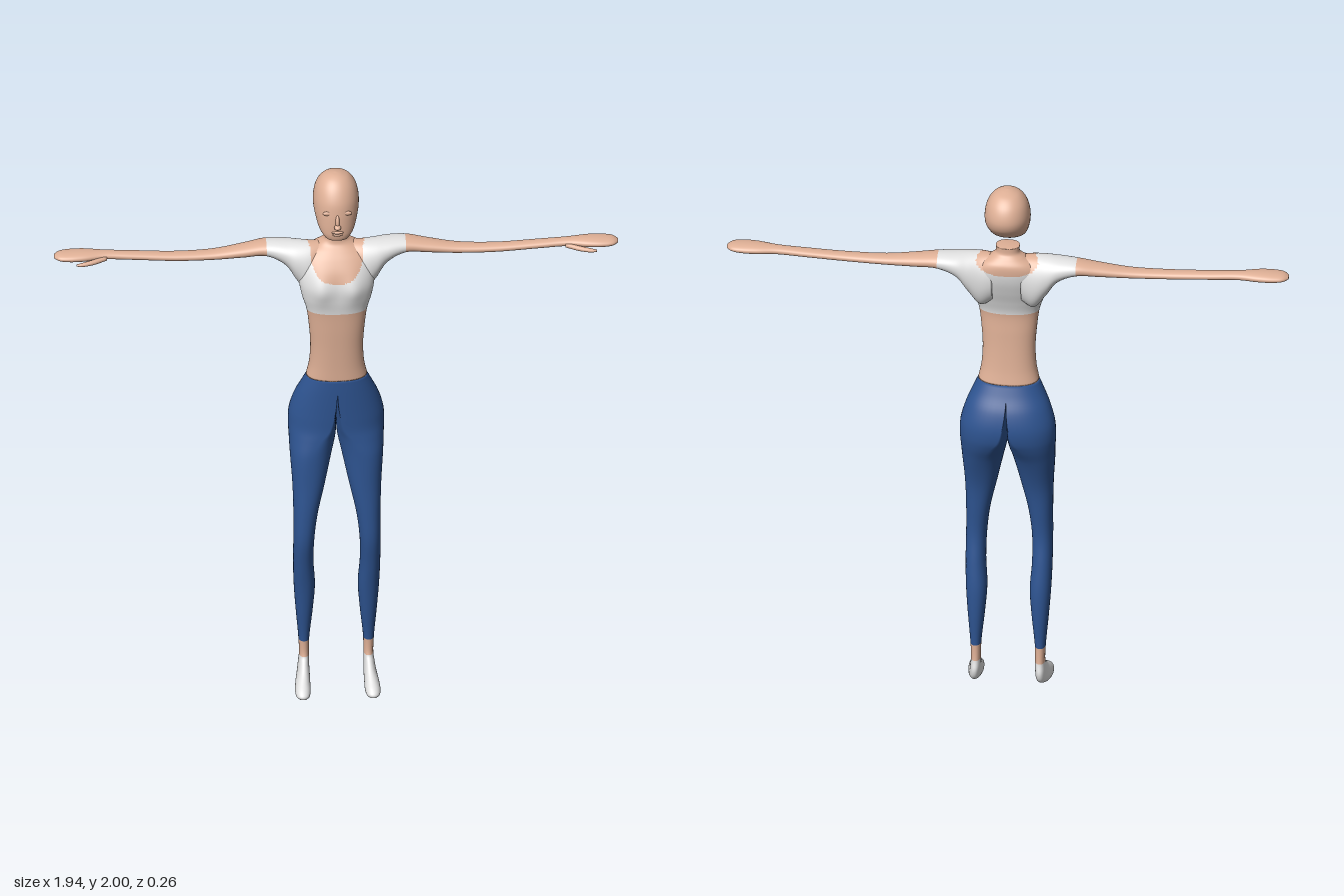
import * as THREE from 'three';

const flat = (name, color) => Object.assign(new THREE.MeshStandardMaterial({ color }), { name });

// Signed power used to square off an ellipse slightly
const pow = (v, p) => Math.sign(v) * Math.abs(v) ** (2 / p);

// Smooth skin through rings; ring(row, cos, sin) gives a point, pick(centroid) a material index
function loft(rows, ring, { seg = 48, sub = 5, p = 2, pick = () => 0, bend, seam = false } = {}) {
  const steps = (rows.length - 1) * sub;
  const pos = [], buckets = [[], [], []];
  const columns = Array.from({ length: seg }, (_, i) => {
    const a = (i / seg) * Math.PI * 2;
    const c = Math.cos(a), s = Math.sin(a);
    return new THREE.CatmullRomCurve3(rows.map(r => ring(r, pow(c, p), pow(s, p))));
  });
  for (let j = 0; j <= steps; j++) {
    for (const column of columns) {
      const v = column.getPoint(j / steps);
      if (bend) bend(v);
      pos.push(v.x, v.y, v.z);
    }
  }
  // Centre points of the two end caps
  for (const j of [0, steps]) {
    const mid = new THREE.Vector3();
    for (let i = 0; i < seg; i++) mid.add(new THREE.Vector3().fromArray(pos, (j * seg + i) * 3));
    mid.divideScalar(seg);
    pos.push(mid.x, mid.y, mid.z);
  }
  const tri = (...t) => {
    const mid = new THREE.Vector3();
    t.forEach(k => mid.add(new THREE.Vector3().fromArray(pos, k * 3)));
    buckets[pick(mid.divideScalar(3))].push(...t);
  };
  const first = (steps + 1) * seg, last = first + 1;
  for (let i = 0; i < seg; i++) {
    const n = (i + 1) % seg;
    for (let j = 0; j < steps; j++) {
      const a = j * seg + i, b = j * seg + n;
      tri(a, b, a + seg);
      tri(b, b + seg, a + seg);
    }
    tri(first, n, i);
    tri(last, steps * seg + i, steps * seg + n);
  }
  const geo = new THREE.BufferGeometry();
  geo.setAttribute('position', new THREE.Float32BufferAttribute(pos, 3));
  geo.setIndex(buckets.flat());
  let start = 0;
  buckets.forEach((b, k) => {
    if (b.length) geo.addGroup(start, b.length, k);
    start += b.length;
  });
  geo.computeVertexNormals();
  // Keep shading continuous across the body's middle line
  if (seam) {
    const nor = geo.attributes.normal, v = new THREE.Vector3();
    for (let i = 0; i < nor.count; i++) {
      if (Math.abs(pos[i * 3]) > 1e-4) continue;
      v.set(0, nor.getY(i), nor.getZ(i)).normalize();
      nor.setXYZ(i, v.x, v.y, v.z);
    }
  }
  return geo;
}

// Ring of an upright part: half width, then front and back points as (y, z)
const upright = ([w, yf, zf, yb, zb], c, s) => new THREE.Vector3(
  w * c, (yf + yb) / 2 + s * (yf - yb) / 2, (zf + zb) / 2 + s * (zf - zb) / 2);

// Ring of a sideways part: x, top, bottom, front, back
const sideways = ([x, yt, yb, zf, zb], c, s) => new THREE.Vector3(
  x, (yt + yb) / 2 + c * (yt - yb) / 2, (zf + zb) / 2 + s * (zf - zb) / 2);

// Ring of a leg: joined half pelvis (m = 0) turning into a separate leg (m = 1)
const legRing = ([xo, xi, yf, zf, yb, zb, m], c, s) => {
  const v = upright([0, yf, zf, yb, zb], c, s);
  v.x = THREE.MathUtils.lerp(Math.max(0, xo * c), (xo + xi) / 2 + c * (xo - xi) / 2, m);
  return v;
};

function mirrored(geo) {
  const g = geo.clone().scale(-1, 1, 1);
  const idx = g.index.array;
  for (let i = 0; i < idx.length; i += 3) [idx[i], idx[i + 1]] = [idx[i + 1], idx[i]];
  const n = g.attributes.normal;
  // Normals follow the reflection of x
  const src = geo.attributes.normal;
  for (let i = 0; i < n.count; i++) n.setXYZ(i, -src.getX(i), src.getY(i), src.getZ(i));
  return g;
}

// Scooped neckline, deeper and narrower in front than behind
function bareNeck({ x, y, z }) {
  const t = THREE.MathUtils.smoothstep(z, -0.07, 0.01);
  const w = THREE.MathUtils.lerp(0.11, 0.092, t), d = THREE.MathUtils.lerp(0.055, 0.115, t);
  return (Math.abs(x) / w) ** 2.5 + (Math.max(0, 1.735 - y) / d) ** 2.5 < 1;
}

export function createModel() {
  const model = new THREE.Group();
  const skin = flat('skin', 0xdfb096), white = flat('white cloth', 0xe2e2e2), blue = flat('blue cloth', 0x2e5491);
  const mats = [skin, white, blue];
  const add = (name, geo, mat = mats) => {
    const mesh = new THREE.Mesh(geo, mat);
    mesh.name = name;
    model.add(mesh);
    return mesh;
  };
  const pair = (name, geo) => {
    add('left' + name, geo);
    add('right' + name, mirrored(geo));
  };

  // Head, from crown to chin
  add('head', loft([
    [0.004, 2, -0.03, 2, -0.036], [0.022, 1.997, -0.008, 1.996, -0.058], [0.046, 1.985, 0.015, 1.985, -0.087],
    [0.067, 1.96, 0.038, 1.955, -0.116], [0.078, 1.92, 0.058, 1.91, -0.13], [0.078, 1.88, 0.066, 1.875, -0.12],
    [0.072, 1.85, 0.069, 1.845, -0.09], [0.063, 1.82, 0.07, 1.815, -0.05], [0.051, 1.8, 0.069, 1.795, -0.01],
    [0.034, 1.783, 0.064, 1.778, 0.02], [0.016, 1.777, 0.055, 1.774, 0.035],
  ], upright, { p: 2.1 }));

  // Face
  const bump = (name, x, y, z, sx, sy, sz) => {
    const mesh = add(name, new THREE.SphereGeometry(1, 20, 14), skin);
    mesh.position.set(x, y, z);
    mesh.scale.set(sx, sy, sz);
    return mesh;
  };
  bump('noseBridge', 0, 1.858, 0.068, 0.007, 0.025, 0.01).rotation.x = -0.25;
  bump('noseTip', 0, 1.84, 0.077, 0.012, 0.009, 0.014);
  bump('upperLip', 0, 1.816, 0.068, 0.021, 0.005, 0.009);
  bump('lowerLip', 0, 1.807, 0.067, 0.018, 0.005, 0.009);
  for (const side of [1, -1]) bump('eyelid', side * 0.033, 1.884, 0.055, 0.018, 0.008, 0.006);

  // Neck, chest and waist
  add('torso', loft([
    [0.041, 1.775, 0.008, -0.058], [0.042, 1.75, 0.008, -0.06], [0.06, 1.735, 0.012, -0.072],
    [0.095, 1.715, 0.03, -0.085], [0.12, 1.69, 0.05, -0.088], [0.13, 1.65, 0.073, -0.083],
    [0.13, 1.6, 0.087, -0.068], [0.12, 1.55, 0.087, -0.05], [0.105, 1.5, 0.082, -0.037],
    [0.095, 1.42, 0.078, -0.04], [0.091, 1.35, 0.074, -0.045], [0.095, 1.28, 0.071, -0.053],
    [0.105, 1.23, 0.07, -0.062],
  ].map(([w, y, f, b]) => [w, y, f, y, b]), upright, {
    seg: 128, sub: 8, p: 2.3,
    pick: m => (m.y < 1.5 || bareNeck(m) ? 0 : 1),
    bend: v => {
      if (v.z > 0.02) v.z += 0.012 * Math.exp(-(((Math.abs(v.x) - 0.058) / 0.035) ** 2) - ((v.y - 1.59) / 0.05) ** 2);
    },
  }));

  // Shoulders with sleeves, arms and mitten hands
  pair('Arm', loft([
    [0.05, 1.734, 1.56, 0.03, -0.08], [0.09, 1.736, 1.535, 0.045, -0.086], [0.135, 1.737, 1.59, 0.04, -0.09],
    [0.175, 1.737, 1.65, 0.025, -0.09], [0.24, 1.735, 1.682, 0.006, -0.085], [0.32, 1.722, 1.68, 0.002, -0.072],
    [0.42, 1.708, 1.676, 0, -0.058], [0.55, 1.705, 1.677, 0, -0.05], [0.7, 1.712, 1.685, -0.003, -0.05],
    [0.8, 1.718, 1.69, -0.003, -0.05], [0.87, 1.722, 1.689, 0.012, -0.06], [0.92, 1.721, 1.69, 0.015, -0.06],
    [0.955, 1.717, 1.694, 0.008, -0.052], [0.972, 1.709, 1.7, -0.01, -0.035],
  ], sideways, { seg: 64, sub: 6, p: 2.1, pick: m => (m.x > 0.24 || bareNeck(m) ? 0 : 1) }));
  pair('Thumb', loft([
    [0.79, 1.707, 1.69, 0, -0.02], [0.84, 1.704, 1.687, 0.025, 0.003],
    [0.88, 1.7, 1.687, 0.034, 0.018], [0.897, 1.697, 1.69, 0.032, 0.025],
  ], sideways, { seg: 16 }));

  // Hips, trousers, ankles and pointed feet in socks
  pair('Leg', loft([
    [0.105, 0, 1.23, 0.071, 1.23, -0.063, 0], [0.124, 0, 1.19, 0.072, 1.19, -0.082, 0],
    [0.146, 0, 1.14, 0.072, 1.14, -0.108, 0.04], [0.163, 0, 1.08, 0.071, 1.08, -0.123, 0.16],
    [0.166, 0, 1.03, 0.07, 1.03, -0.12, 0.35], [0.164, 0.004, 0.99, 0.072, 0.99, -0.105, 0.7],
    [0.161, 0.016, 0.93, 0.077, 0.93, -0.076, 1], [0.153, 0.042, 0.81, 0.081, 0.81, -0.037, 1],
    [0.15, 0.066, 0.7, 0.085, 0.7, -0.024, 1], [0.15, 0.078, 0.6, 0.083, 0.6, -0.02, 1],
    [0.15, 0.08, 0.5, 0.064, 0.5, -0.036, 1], [0.147, 0.074, 0.4, 0.045, 0.4, -0.05, 1],
    [0.14, 0.081, 0.3, 0.03, 0.3, -0.052, 1], [0.13, 0.093, 0.18, 0.013, 0.18, -0.047, 1],
    [0.128, 0.094, 0.12, 0.016, 0.12, -0.05, 1], [0.131, 0.094, 0.103, 0.03, 0.082, -0.058, 1],
    [0.136, 0.093, 0.078, 0.058, 0.05, -0.046, 1], [0.144, 0.093, 0.056, 0.092, 0.022, 0, 1],
    [0.147, 0.094, 0.04, 0.118, 0.006, 0.05, 1], [0.142, 0.1, 0.026, 0.133, 0.003, 0.09, 1],
    [0.13, 0.112, 0.016, 0.134, 0.007, 0.115, 1],
  ], legRing, {
    p: 2.2, seam: true,
    pick: m => (m.y > 0.18 ? 2 : m.y > 0.12 ? 0 : 1),
    bend: v => { v.x = Math.max(0, v.x); v.y = Math.max(0, v.y); },
  }));

  return model;
}
